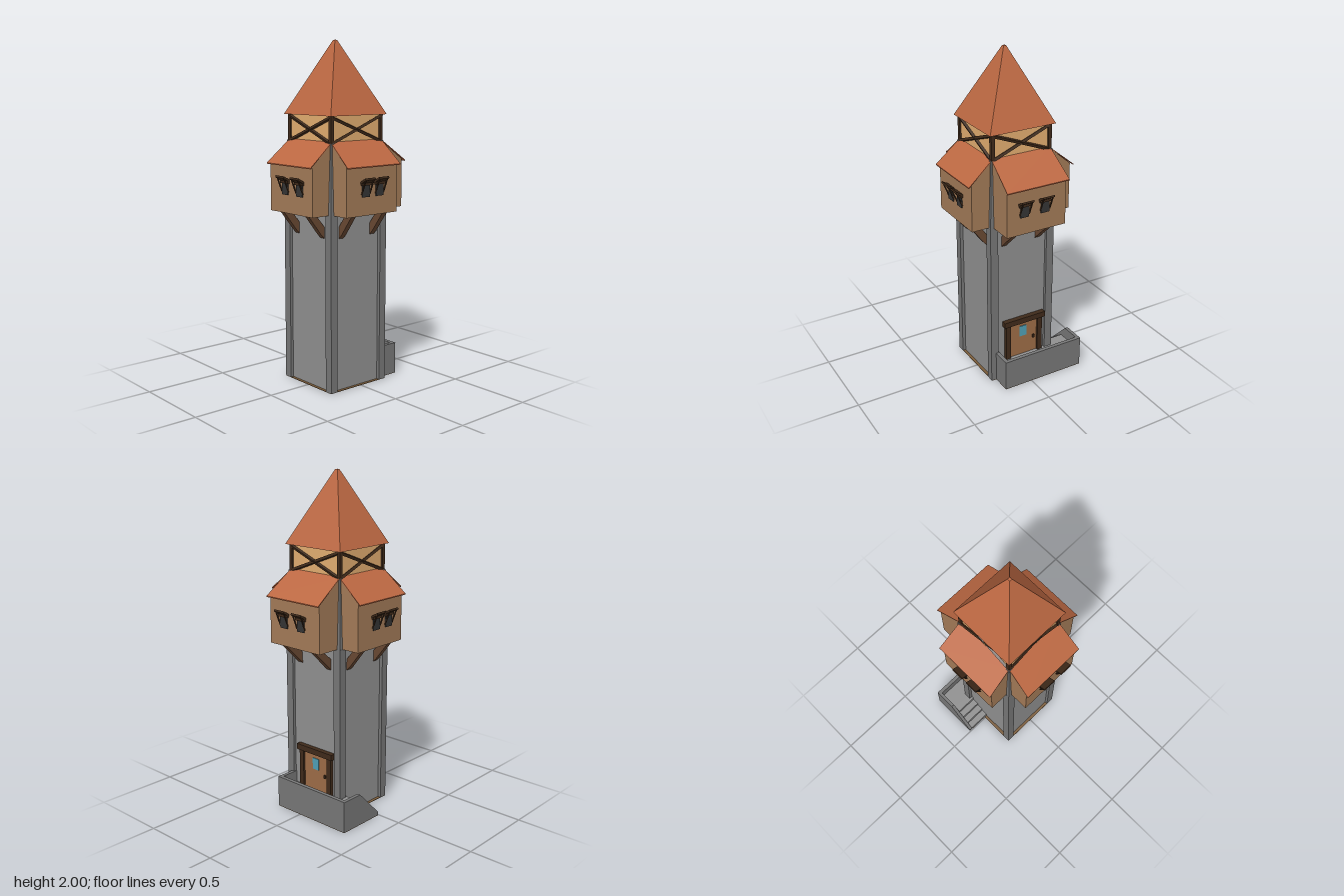
import * as THREE from 'three';

const mat = (color) => new THREE.MeshStandardMaterial({ color, flatShading: true });
const M = {
  wall: mat(0x8f8f8f), pillar: mat(0x767676), bay: mat(0xa27a57), panel: mat(0xe2ad70),
  roof: mat(0xbc6842), beam: mat(0x3f2a1a), bracket: mat(0x684832), pane: mat(0x343434),
  door: mat(0x9c6c46), glass: mat(0x4f9fb5), earth: mat(0x7a5c3a),
};
M.roof.side = THREE.DoubleSide;

const CZ = 0.02; // tower axis

function add(parent, name, geo, material, x = 0, y = 0, z = 0) {
  const mesh = new THREE.Mesh(geo, material);
  mesh.name = name;
  mesh.position.set(x, y, z);
  parent.add(mesh);
  return mesh;
}

// Box given by its limits
function block(parent, name, material, x0, x1, y0, y1, z0, z1) {
  return add(parent, name, new THREE.BoxGeometry(x1 - x0, y1 - y0, z1 - z0), material,
    (x0 + x1) / 2, (y0 + y1) / 2, (z0 + z1) / 2);
}

// Extrudes a (z, y) profile along x, centred on x = 0
function prism(points, width) {
  const shape = new THREE.Shape(points.map((p) => new THREE.Vector2(p[0], p[1])));
  const geo = new THREE.ExtrudeGeometry(shape, { depth: width, bevelEnabled: false });
  return geo.translate(0, 0, -width / 2).rotateY(-Math.PI / 2);
}

// Square bar between two points
function bar(parent, name, material, a, b, w) {
  const from = new THREE.Vector3(...a), to = new THREE.Vector3(...b);
  const mesh = add(parent, name, new THREE.BoxGeometry(w, w, from.distanceTo(to)), material);
  mesh.position.copy(from).add(to).multiplyScalar(0.5);
  mesh.rotation.set(0, 0, 0);
  mesh.quaternion.setFromUnitVectors(new THREE.Vector3(0, 0, 1), to.sub(from).normalize());
  return mesh;
}

// Window with a propped-open shutter
function makeWindow(x, z) {
  const g = new THREE.Group();
  g.name = 'window';
  g.position.set(x, 0, z);
  block(g, 'windowPane', M.pane, -0.027, 0.027, 1.135, 1.205, -0.01, 0.006);
  block(g, 'windowLintel', M.beam, -0.036, 0.036, 1.2, 1.218, -0.01, 0.012);
  add(g, 'shutter', prism([[0, 1.208], [0.043, 1.234], [0.04, 1.245], [0, 1.222]], 0.076), M.beam);
  for (const s of [-1, 1]) bar(g, 'shutterProp', M.beam, [s * 0.03, 1.15, 0.002], [s * 0.03, 1.235, 0.036], 0.006);
  return g;
}

// Overhanging bay facing +z, with its roof, windows and brackets
function makeBay(d, windows, brackets) {
  const g = new THREE.Group();
  g.name = 'bay';
  add(g, 'bayWalls', prism([[0.15, 1.03], [d, 1.03], [d, 1.312], [0.2, 1.42], [0.15, 1.42]], 0.38), M.bay);

  // Roof sheet flares a little towards the eave
  const sheet = prism([[0.185, 1.432], [d + 0.02, 1.3], [d + 0.02, 1.306], [0.185, 1.438]], 0.38);
  const p = sheet.attributes.position;
  for (let i = 0; i < p.count; i++) if (p.getZ(i) > 0.25) p.setX(i, p.getX(i) * 1.05);
  sheet.computeVertexNormals();
  add(g, 'bayRoof', sheet, M.roof);

  for (const x of windows) g.add(makeWindow(x, d));
  for (const x of brackets) {
    add(g, 'bracket', prism([[0.19, 0.89], [0.215, 0.915], [d - 0.015, 1.035], [d - 0.07, 1.035], [0.19, 0.955]], 0.034),
      M.bracket, x);
  }
  return g;
}

// One side of the half-timbered lookout, facing +z
function makeTimberFrame() {
  const g = new THREE.Group();
  g.name = 'timberFrame';
  for (const s of [-1, 1]) {
    bar(g, 'crossBrace', M.beam, [-0.178, 1.5 - s * 0.07, 0.187], [0.178, 1.5 + s * 0.07, 0.187], 0.016);
  }
  block(g, 'cornerPost', M.beam, 0.172, 0.194, 1.41, 1.58, 0.172, 0.194);
  return g;
}

function makePorch() {
  const g = new THREE.Group();
  g.name = 'porch';
  block(g, 'porchFloor', M.wall, -0.33, 0.165, 0.003, 0.12, -0.29, -0.17);
  block(g, 'backParapet', M.pillar, -0.35, 0.18, 0.003, 0.19, -0.308, -0.285);
  block(g, 'endParapet', M.pillar, 0.158, 0.18, 0.003, 0.19, -0.285, -0.17);
  // Side parapet slopes down beside the stairs
  add(g, 'stairParapet', prism([[-0.285, 0.003], [-0.005, 0.003], [-0.005, 0.02], [-0.17, 0.19], [-0.285, 0.19]], 0.02),
    M.pillar, -0.34);
  const run = 0.165 / 4;
  for (let i = 0; i < 4; i++) {
    block(g, 'step', M.wall, -0.33, -0.19, 0.003, 0.03 * (i + 1), -0.17, -0.005 - run * i);
  }
  block(g, 'porchBase', M.earth, -0.35, 0.18, 0, 0.003, -0.308, -0.17);
  block(g, 'stairBase', M.earth, -0.35, -0.19, 0, 0.003, -0.17, -0.005);
  return g;
}

function makeDoor() {
  const g = new THREE.Group();
  g.name = 'doorway';
  block(g, 'door', M.door, -0.11, 0.08, 0.12, 0.352, -0.18, -0.16);
  block(g, 'doorGlass', M.glass, -0.035, 0.012, 0.25, 0.32, -0.184, -0.17);
  block(g, 'doorHandle', M.beam, -0.092, -0.08, 0.215, 0.235, -0.19, -0.17);
  for (const x of [-0.125, 0.095]) block(g, 'doorPost', M.beam, x - 0.016, x + 0.016, 0.12, 0.355, -0.193, -0.16);
  block(g, 'doorLintel', M.beam, -0.155, 0.125, 0.352, 0.387, -0.203, -0.16);
  return g;
}

export function createModel() {
  const model = new THREE.Group();
  model.name = 'watchtower';
  const tower = new THREE.Group();
  tower.name = 'tower';
  tower.position.z = CZ;
  model.add(tower);

  // Stone shaft
  block(tower, 'shaft', M.wall, -0.192, 0.192, 0.003, 1.41, -0.192, 0.192);
  block(tower, 'shaftBase', M.earth, -0.21, 0.21, 0, 0.003, -0.21, 0.21);

  // Corner pillars, tapering between the bays
  for (const sx of [-1, 1]) for (const sz of [-1, 1]) {
    block(tower, 'cornerPillar', M.pillar, sx * 0.1875 - 0.0245, sx * 0.1875 + 0.0245, 0.003, 1.03,
      sz * 0.1865 - 0.0235, sz * 0.1865 + 0.0235);
    const taper = new THREE.CylinderGeometry(0.011 * Math.SQRT2, 0.024 * Math.SQRT2, 0.4, 4).rotateY(Math.PI / 4);
    add(tower, 'pillarTop', taper, M.pillar, sx * 0.1875, 1.23, sz * 0.187);
  }

  // Bays: front, right side, back, left side
  const bays = [
    [0.325, [-0.05, 0.08], [-0.11, 0.115]],
    [0.318, [0.053, -0.05], [-0.12, 0.115]],
    [0.355, [0.052, -0.08], [-0.115, 0.11]],
    [0.325, [0.07, -0.038], [-0.115, 0.12]],
  ];
  bays.forEach((spec, i) => {
    const bay = makeBay(...spec);
    const frame = makeTimberFrame();
    bay.rotation.y = frame.rotation.y = (i * Math.PI) / 2;
    tower.add(bay, frame);
  });

  // Lookout room and spire
  block(tower, 'lookoutRoom', M.panel, -0.184, 0.184, 1.4, 1.585, -0.184, 0.184);
  const spire = new THREE.CylinderGeometry(0.008 * Math.SQRT2, 0.21 * Math.SQRT2, 0.42, 4).rotateY(Math.PI / 4);
  add(tower, 'spireRoof', spire, M.roof, 0, 1.79, 0);

  model.add(makePorch(), makeDoor());
  return model;
}
